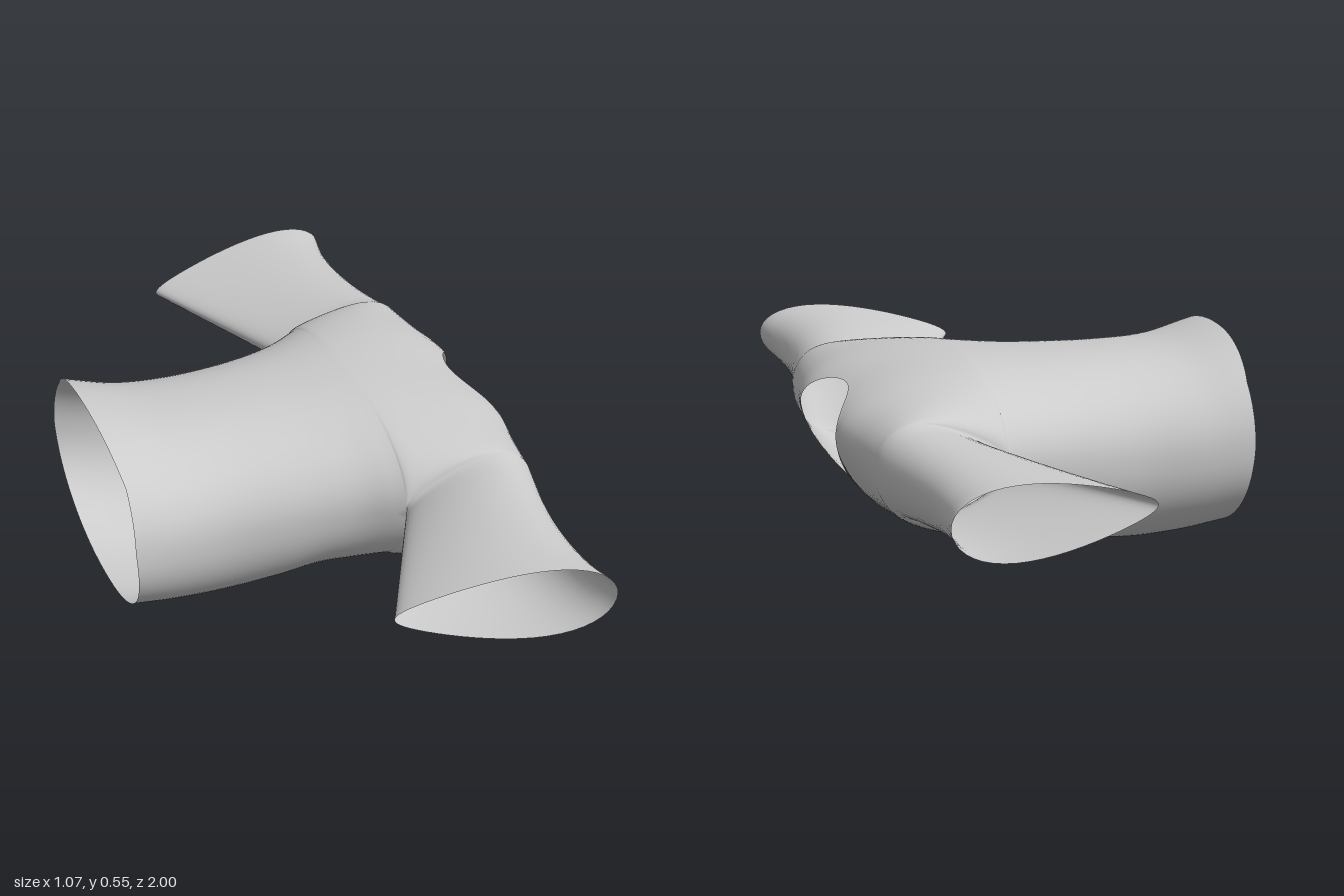
import * as THREE from 'three';
import { mergeVertices, mergeGeometries } from 'three/addons/utils/BufferGeometryUtils.js';

const ARM_X = 0.16, ARM_Z = 0.44, ARM_Y = 0.325; // underarm point
const NECK = 0.19 / ARM_Z;                       // neck half width as a share of the chest
const lerp = THREE.MathUtils.lerp;

// Smooth lookup in a table of [key, value, value, ...] rows
function table(rows) {
  const size = rows[0].length - 1;
  const curve = new THREE.CubicInterpolant(rows.map(r => r[0]), rows.flatMap(r => r.slice(1)), size);
  return key => [...curve.evaluate(key)];
}

// Body from hem to underarm: x, half width, top, bottom, side height
const body = table([
  [-0.52, 0.36, 0.545, 0.03, 0.28],
  [-0.4, 0.34, 0.512, 0.01, 0.27],
  [-0.25, 0.325, 0.505, 0.0, 0.27],
  [-0.1, 0.34, 0.507, 0.02, 0.28],
  [0, 0.362, 0.51, 0.047, 0.295],
  [0.08, 0.39, 0.515, 0.055, 0.31],
  [ARM_X, ARM_Z, 0.52, 0.075, ARM_Y],
]);

// Shoulder line: |z|, x, y
const shoulder = table([
  [0, 0.535, 0.36], [0.19, 0.535, 0.365], [0.3, 0.518, 0.355], [0.44, 0.5, 0.345],
  [0.6, 0.468, 0.342], [0.75, 0.45, 0.345], [0.9, 0.452, 0.35], [1, 0.468, 0.36],
]);

const fullness = a => Math.pow(Math.max(0, 1 - Math.pow(Math.abs(a), 2.2)), 1 / 2.2);
const teardrop = t => 2 * Math.sqrt(Math.max(0, t * (1 - t))) * (0.4 + 0.6 * t);

// Body surface: side is +1 for the upper panel, -1 for the lower one
function bodyPoint(x, a, side) {
  const [w, top, bottom, mid] = body(x);
  const y = mid + ((side > 0 ? top : bottom) - mid) * fullness(a);
  const hem = Math.pow(Math.max(0, (-0.3 - x) / 0.22), 2);
  const shift = hem * (y > 0.45 ? -0.2 * (y - 0.45) : y < 0.3 ? 0.09 * (0.3 - y) : 0);
  return [x + shift, y, w * a];
}

// Yoke for |v| <= 1, running on into a sleeve for |v| = 1..2
function yokePoint(u, v, side) {
  const a = Math.min(1, Math.abs(v)), s = Math.max(0, Math.abs(v) - 1);
  const innerZ = a * ARM_Z + 0.46 * s, outerZ = a * ARM_Z + 0.56 * s;
  const innerX = ARM_X - 0.22 * s;
  const [outerX, outerY] = shoulder(outerZ);
  // neckline cuts the section short
  const cut = a < NECK ? (side > 0 ? 0.6 : 0.69) * Math.sqrt(Math.max(0, 1 - (a / NECK) ** 2)) : 0;
  const tMax = Math.sqrt(1 - cut * cut);
  const t = (1 - Math.cos(u * Math.acos(1 - 2 * tMax))) / 2;
  const startY = s > 0 ? lerp(ARM_Y, 0.342, s) : bodyPoint(ARM_X, a, side)[1];
  const round = Math.pow(Math.max(0, 1 - t * t), side > 0 ? 0.5 : 0.62);
  const closed = 1 - fullness(a);
  const y = lerp(outerY, startY, round) + side * closed * lerp(0.16, 0.122, Math.sqrt(s)) * teardrop(t);
  return [lerp(innerX, outerX, t), y, Math.sign(v) * lerp(innerZ, outerZ, t)];
}

// Sheet of quads over two lists of parameters
function sheet(us, vs, point, side) {
  const positions = us.flatMap(u => vs.flatMap(v => point(u, v, side)));
  const index = [];
  for (let i = 0; i < us.length - 1; i++) {
    for (let j = 0; j < vs.length - 1; j++) {
      const p = i * vs.length + j, q = p + vs.length;
      if (side > 0) index.push(p, p + 1, q, q, p + 1, q + 1);
      else index.push(p, q, p + 1, q, q + 1, p + 1);
    }
  }
  const geometry = new THREE.BufferGeometry();
  geometry.setAttribute('position', new THREE.Float32BufferAttribute(positions, 3));
  geometry.setIndex(index);
  return geometry;
}

const steps = (n, f) => Array.from({ length: n + 1 }, (_, i) => f(i / n));
const mirrored = list => [...list.slice(1).reverse().map(v => -v), ...list];

export function createModel() {
  // Stations across the chest, close together at the neck corners and sides
  const neck = steps(14, k => NECK * Math.sin(k * Math.PI / 2));
  const start = Math.asin(NECK);
  const side = steps(16, k => Math.sin(lerp(start, Math.PI / 2, k))).slice(1);
  side[side.length - 1] = 1;
  const half = [...neck, ...side];
  const sleeve = steps(20, k => 1 + k).slice(1);
  const chest = mirrored(half), span = mirrored([...half, ...sleeve]);
  const lengthwise = steps(28, k => lerp(-0.52, ARM_X, k)), around = steps(24, k => k);

  const parts = [1, -1].flatMap(s => [
    sheet(lengthwise, chest, bodyPoint, s),
    sheet(around, span, yokePoint, s),
  ]);
  const geometry = mergeVertices(mergeGeometries(parts), 1e-4);
  geometry.computeVertexNormals();

  const shirt = new THREE.Mesh(geometry, new THREE.MeshStandardMaterial({
    color: 0xcccccc, side: THREE.DoubleSide,
  }));
  shirt.name = 'shirt';
  const group = new THREE.Group();
  group.name = 'shirtModel';
  group.add(shirt);
  return group;
}
